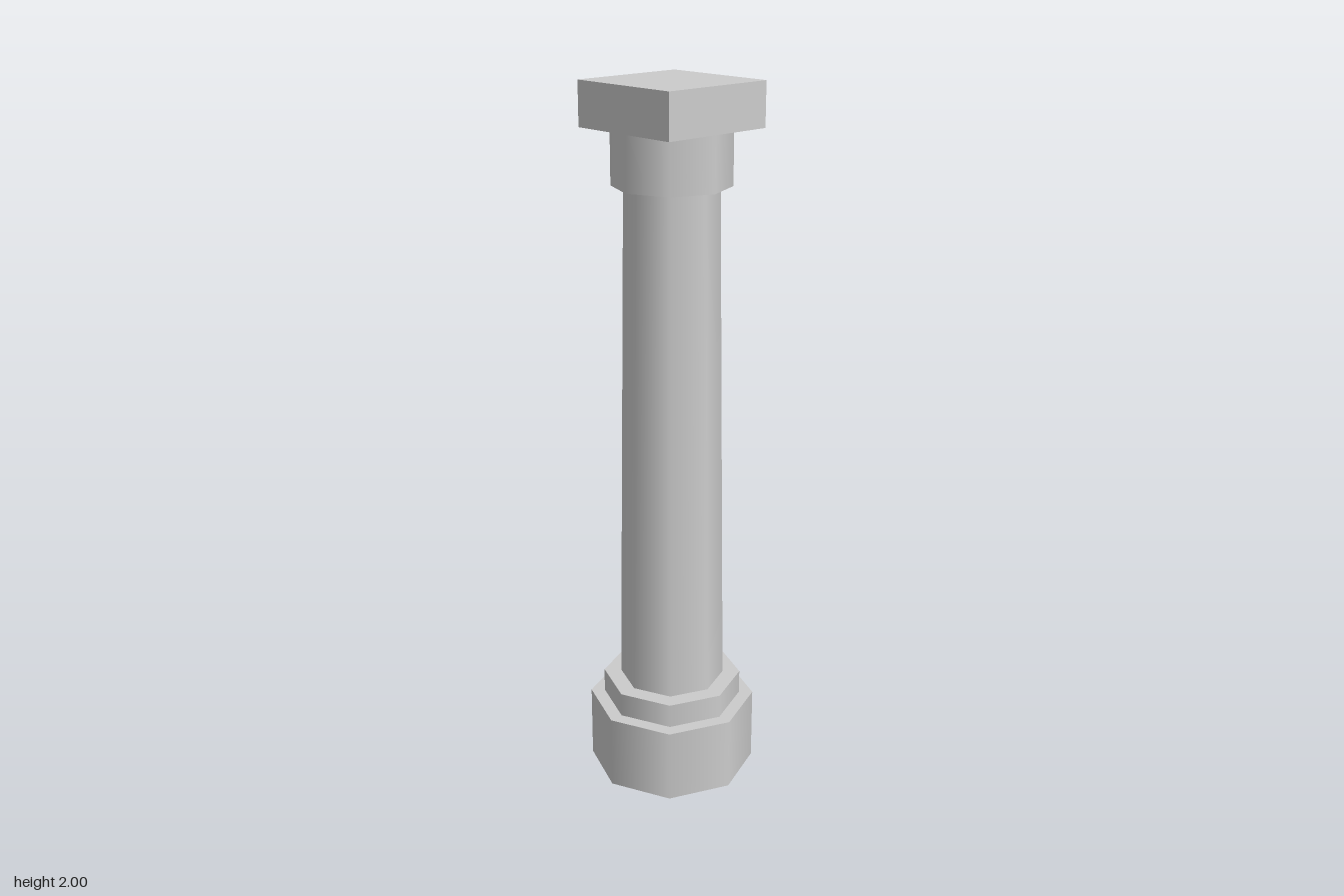
import * as THREE from 'three';

const SIDES = 8;

export function createModel() {
  const column = new THREE.Group();
  column.name = 'column';
  const stone = new THREE.MeshStandardMaterial({ color: 0xcccccc });

  function add(name, geometry, bottom, top) {
    const mesh = new THREE.Mesh(geometry, stone);
    mesh.name = name;
    mesh.position.y = (bottom + top) / 2;
    column.add(mesh);
  }

  // Octagonal drums with smooth sides: name, bottom radius, top radius, bottom y, top y
  const drums = [
    ['base', 0.241, 0.241, 0, 0.215],
    ['baseStep', 0.201, 0.201, 0.215, 0.285],
    ['shaft', 0.151, 0.128, 0.285, 1.73],
    ['capital', 0.161, 0.161, 1.73, 1.88],
  ];
  for (const [name, rBottom, rTop, bottom, top] of drums) {
    add(name, new THREE.CylinderGeometry(rTop, rBottom, top - bottom, SIDES), bottom, top);
  }

  // Square slab on top
  add('topSlab', new THREE.BoxGeometry(0.341, 0.12, 0.341), 1.88, 2);

  return column;
}
